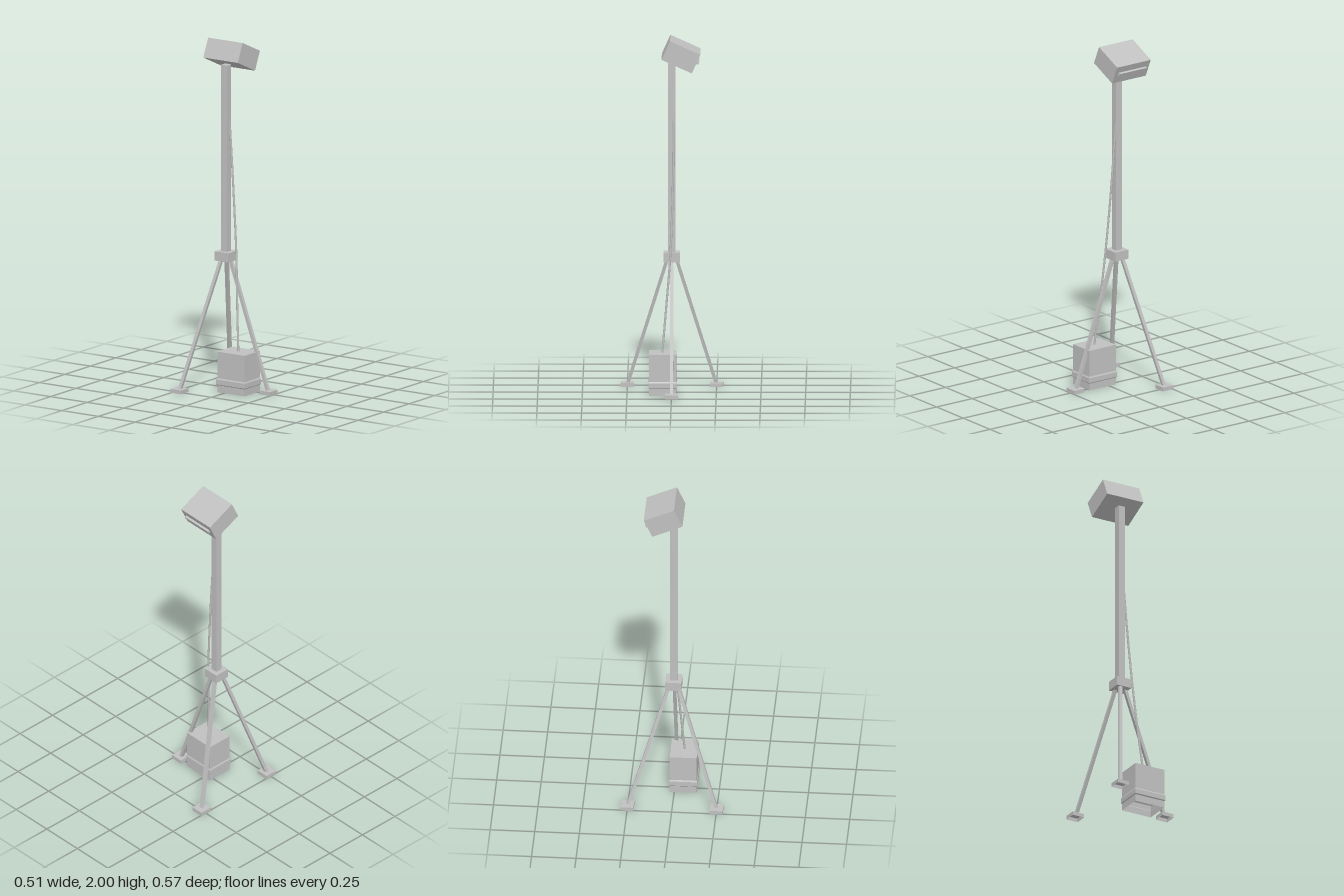
import * as THREE from 'three';

// Skin of rectangles stacked upward: each row is [y, centreX, centreZ, width, depth]
function stack(rows, openBottom) {
  const corners = [[-1, 1], [1, 1], [1, -1], [-1, -1]];
  const rings = rows.map(([y, x, z, w, d]) => corners.map(([sx, sz]) => [x + sx * w / 2, y, z + sz * d / 2]));
  const pos = [];
  const quad = (a, b, c, d) => pos.push(...a, ...b, ...c, ...a, ...c, ...d);
  for (let r = 0; r < rings.length - 1; r++) {
    for (let i = 0; i < 4; i++) {
      const j = (i + 1) % 4;
      quad(rings[r][i], rings[r][j], rings[r + 1][j], rings[r + 1][i]);
    }
  }
  quad(...rings[rings.length - 1]);
  if (!openBottom) quad(...[...rings[0]].reverse());
  const geo = new THREE.BufferGeometry();
  geo.setAttribute('position', new THREE.Float32BufferAttribute(pos, 3));
  geo.computeVertexNormals();
  return geo;
}

export function createModel() {
  const model = new THREE.Group();
  model.name = 'standLamp';
  const grey = new THREE.MeshStandardMaterial({ color: 0xc0c0c0, side: THREE.DoubleSide });
  grey.name = 'grey';

  const add = (name, geo, parent = model, x = 0, y = 0, z = 0) => {
    const mesh = new THREE.Mesh(geo, grey);
    mesh.name = name;
    mesh.position.set(x, y, z);
    parent.add(mesh);
    return mesh;
  };
  const axis = -0.074; // x of the upright

  // Upright and the collar that holds the legs
  add('post', new THREE.BoxGeometry(0.04, 1.09, 0.04), model, axis, 1.315, 0);
  add('collar', new THREE.BoxGeometry(0.092, 0.053, 0.092), model, axis, 0.763, 0);

  // Three splayed legs with hollow feet
  for (let i = 0; i < 3; i++) {
    const a = i * Math.PI * 2 / 3;
    const at = (r) => [axis + r * Math.cos(a), r * Math.sin(a)];
    const [tx, tz] = at(0.03);
    const [bx, bz] = at(0.284);
    const [fx, fz] = at(0.289);
    add('leg', stack([[0.026, bx, bz, 0.019, 0.019], [0.745, tx, tz, 0.019, 0.019]]));
    add('foot', stack([[0.005, fx, fz, 0.073, 0.073], [0.027, fx, fz, 0.073, 0.073]], true));
  }

  // Power case with a raised band near its open base
  const cx = 0.046, cz = 0.05;
  add('powerCase', stack([
    [0.005, cx, cz, 0.186, 0.152],
    [0.045, cx, cz, 0.186, 0.152],
    [0.05, cx, cz, 0.195, 0.161],
    [0.078, cx, cz, 0.195, 0.161],
    [0.086, cx, cz, 0.186, 0.152],
    [0.238, cx, cz, 0.186, 0.152],
  ], true));

  // Cable from the case up to the post
  const path = new THREE.CatmullRomCurve3([
    [0.046, 0.23, 0.053], [0.022, 0.5, 0.03], [0.001, 0.78, 0.008],
    [-0.03, 1.17, -0.006], [-0.058, 1.55, -0.01],
  ].map((p) => new THREE.Vector3(...p)));
  add('cable', new THREE.TubeGeometry(path, 16, 0.006, 6));

  // Tilted lamp head with a bar across its rear face
  const head = new THREE.Group();
  head.name = 'lampHead';
  head.position.set(axis + 0.001, 1.91, -0.052);
  head.rotation.x = -0.425;
  model.add(head);
  add('housing', new THREE.BoxGeometry(0.235, 0.116, 0.186), head);
  add('lampBar', new THREE.BoxGeometry(0.19, 0.018, 0.02), head, 0, 0.006, -0.096);

  return model;
}
